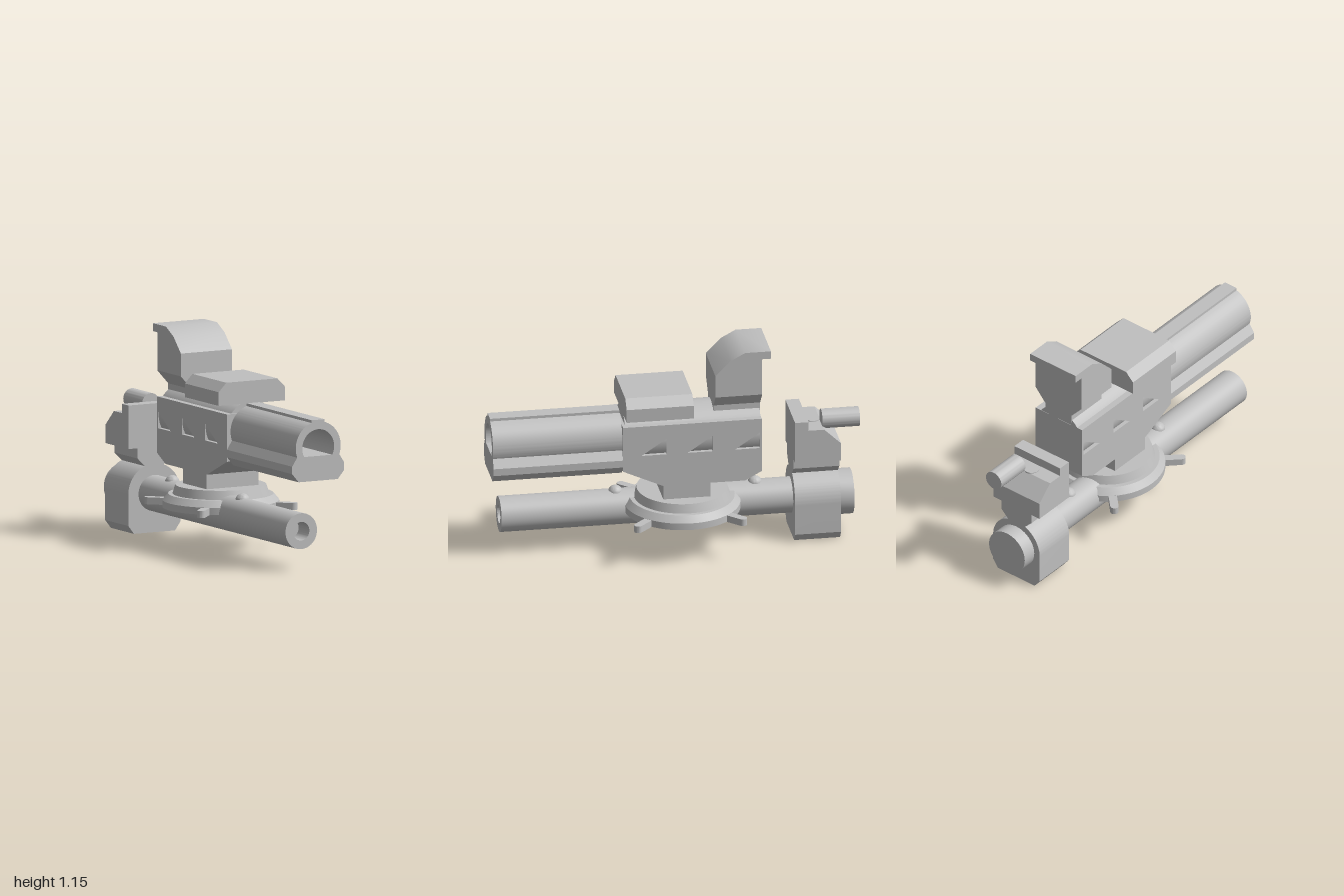
import * as THREE from 'three';
import { toCreasedNormals } from 'three/addons/utils/BufferGeometryUtils.js';

const lightGrey = new THREE.MeshStandardMaterial({ color: 0xc0c0c0 });
lightGrey.name = 'lightGrey';

export function createModel() {
  const model = new THREE.Group();
  model.name = 'mountedGun';

  const add = (name, geometry) => {
    const mesh = new THREE.Mesh(toCreasedNormals(geometry, 0.5), lightGrey);
    mesh.name = name;
    model.add(mesh);
    return mesh;
  };
  const poly = (pts) => new THREE.Shape(pts.map(([a, b]) => new THREE.Vector2(a, b)));
  const extrude = (shape, depth) =>
    new THREE.ExtrudeGeometry(shape, { depth, bevelEnabled: false, curveSegments: 36 });
  // Cross-section in (x, y), swept from z0 to z1
  const alongZ = (name, shape, z0, z1) => add(name, extrude(shape, z1 - z0).translate(0, 0, z0));
  // Side profile in (z, y), swept from x0 to x1
  const alongX = (name, shape, x0, x1) =>
    add(name, extrude(shape, x1 - x0).rotateY(-Math.PI / 2).translate(x1, 0, 0));
  const rodZ = (name, r, x, y, z0, z1) =>
    add(name, new THREE.CylinderGeometry(r, r, z1 - z0, 40).rotateX(Math.PI / 2).translate(x, y, (z0 + z1) / 2));
  const box = (name, w, h, d, x, y, z) => add(name, new THREE.BoxGeometry(w, h, d).translate(x, y, z));
  const lathe = (pts) => new THREE.LatheGeometry(pts.map(([r, h]) => new THREE.Vector2(r, h)), 56);

  // Lower barrel with a shallow bore
  const bx = -0.067, by = 0.217;
  add('lowerBarrel', lathe([[0, -0.66], [0.097, -0.66], [0.097, 0.935], [0.05, 0.935], [0.05, 0.82], [0, 0.82]])
    .rotateX(Math.PI / 2).translate(bx, by, 0));
  for (const z of [0.305, -0.45]) {
    add('barrelStud', new THREE.SphereGeometry(0.039, 24, 16).translate(bx, 0.3, z));
  }

  // Breech: round-topped block, neck and stepped upper block
  const breech = new THREE.Shape();
  breech.moveTo(-0.192, 0.005);
  breech.lineTo(0.06, 0.005);
  breech.lineTo(0.093, 0.05);
  breech.lineTo(0.093, by);
  breech.absarc(bx, by, 0.16, 0, Math.PI, false);
  breech.lineTo(-0.227, 0.05);
  alongZ('breechBlock', breech, -0.89, -0.642);
  alongZ('breechNeck', poly([[-0.125, 0.35], [-0.01, 0.35], [-0.01, 0.365], [0.036, 0.41],
    [0.036, 0.47], [-0.17, 0.47], [-0.17, 0.41], [-0.125, 0.365]]), -0.89, -0.642);
  alongX('upperBreech', poly([[-0.642, 0.465], [-0.642, 0.7], [-0.715, 0.7], [-0.715, 0.65],
    [-0.8, 0.65], [-0.89, 0.565], [-0.89, 0.465]].reverse()), -0.225, 0.09);
  rodZ('breechCap', 0.123, bx, by, -0.97, -0.88);
  rodZ('rearRod', 0.053, 0, 0.677, -1, -0.797);
  add('breechPin', new THREE.CylinderGeometry(0.042, 0.042, 0.06, 28).translate(-0.067, 0.624, -0.762));

  // Turntable with four diagonal handles
  const cz = -0.045;
  add('turntable', lathe([[0, 0.217], [0.312, 0.217], [0.312, 0.255], [0.282, 0.29], [0.258, 0.29],
    [0.243, 0.338], [0, 0.338]]).translate(0, 0, cz));
  for (let i = 0; i < 4; i++) {
    const handle = new THREE.BoxGeometry(0.045, 0.038, 0.17).translate(0, 0.235, 0.315);
    const tip = new THREE.CylinderGeometry(0.0225, 0.0225, 0.038, 20).translate(0, 0.235, 0.4);
    for (const [name, g] of [['turntableHandle', handle], ['handleTip', tip]]) {
      add(name, g.rotateY(Math.PI / 4 + i * Math.PI / 2).translate(0, 0, cz));
    }
  }
  box('pedestal', 0.32, 0.1, 0.255, 0, 0.375, cz);

  // Main body: solid core between side plates with triangular recesses
  const bodyPoints = [[0.3, 0.77], [-0.45, 0.77], [-0.45, 0.465], [-0.36, 0.417], [0.085, 0.417], [0.3, 0.515]];
  alongX('bodyCore', poly(bodyPoints), -0.13, 0.13);
  const plate = poly(bodyPoints);
  for (const z of [0.2, -0.05, -0.305]) {
    plate.holes.push(poly([[z, 0.6], [z - 0.135, 0.6], [z - 0.135, 0.69]]));
  }
  alongX('leftBodyPlate', plate, 0.13, 0.16);
  alongX('rightBodyPlate', plate, -0.16, -0.13);
  rodZ('receiverTube', 0.157, 0, 0.675, -0.449, 0.285);

  // Upper barrel with a flat-bottomed bore, faceted underside and top rail
  const barrel = new THREE.Shape();
  barrel.absarc(0, 0.675, 0.138, -0.355, Math.PI + 0.355, false);
  for (const [x, y] of [[-0.16, 0.58], [-0.16, 0.54], [-0.12, 0.493], [0.12, 0.493], [0.16, 0.54], [0.16, 0.58]]) {
    barrel.lineTo(x, y);
  }
  const bore = new THREE.Path();
  bore.absarc(0, 0.673, 0.098, -0.49, Math.PI + 0.49, false);
  barrel.holes.push(bore);
  alongZ('upperBarrel', barrel, 0.3, 1);
  box('topRail', 0.08, 0.03, 0.7, 0, 0.807, 0.65);

  // Chamfered top cover
  alongZ('topCover', poly([[-0.204, 0.818], [0.204, 0.818], [0.204, 0.892], [0.157, 0.94],
    [-0.157, 0.94], [-0.204, 0.892]]), -0.075, 0.288);

  // Sight hood with overhanging rear lip and tapered base
  alongX('sightHood', poly([[-0.2, 0.91], [-0.2, 1.033], [-0.28, 1.115], [-0.36, 1.158], [-0.5, 1.158],
    [-0.5, 1.115], [-0.453, 1.115], [-0.453, 0.91]]), -0.157, 0.157);
  alongZ('sightBase', poly([[-0.09, 0.79], [0.09, 0.79], [0.09, 0.835], [0.157, 0.91],
    [-0.157, 0.91], [-0.09, 0.835]]), -0.453, -0.2);

  return model;
}
